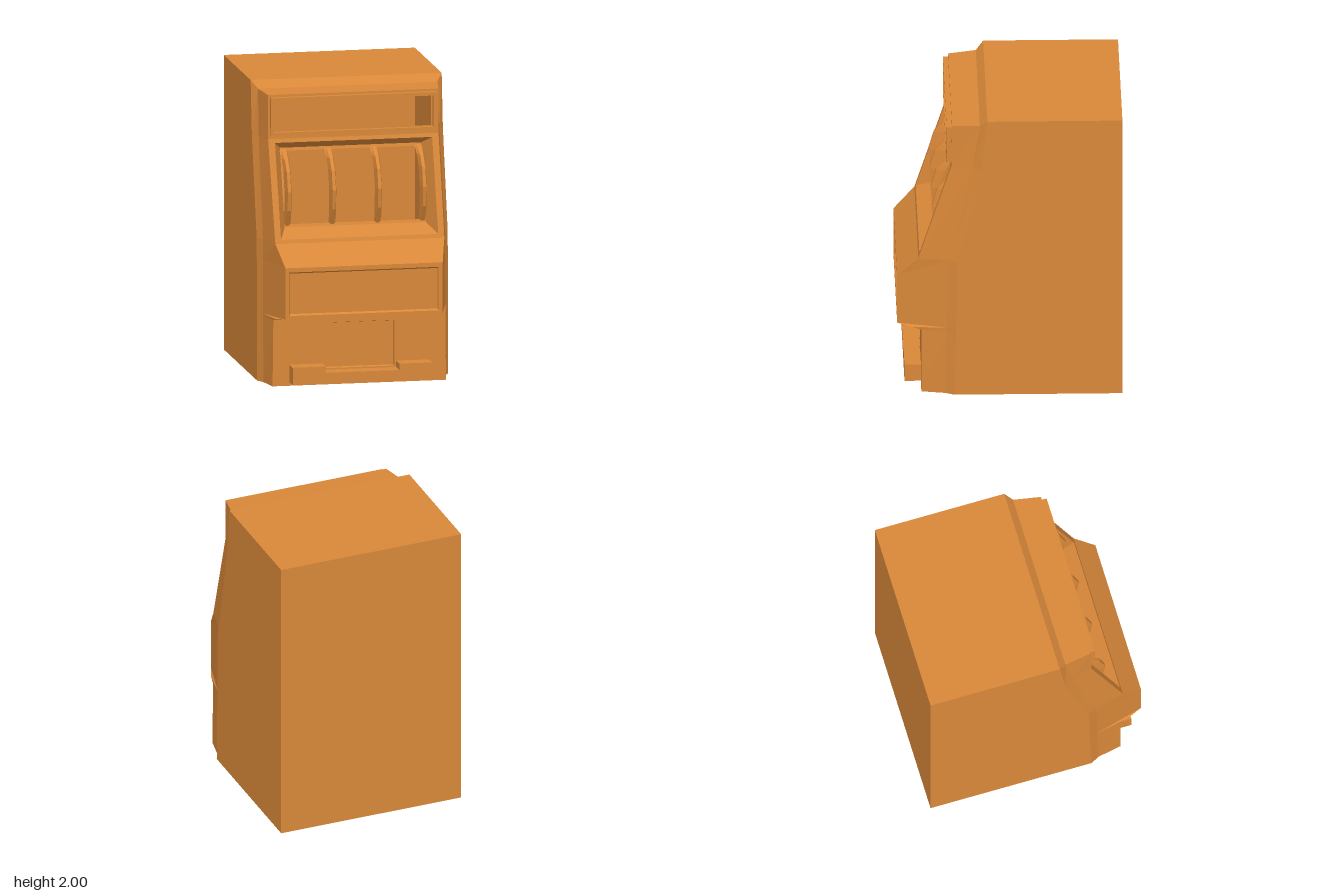
import * as THREE from 'three';

const material = new THREE.MeshStandardMaterial({ color: 0xd98839, flatShading: true, side: THREE.DoubleSide });

// Collects quads (corners counter-clockwise from outside) into one mesh
class Quads {
  pos = [];
  quad(a, b, c, d) {
    for (const p of [a, b, c, a, c, d]) this.pos.push(...p);
  }
  // Quad on the +x half plus its mirror image
  pair(a, b, c, d) {
    this.quad(a, b, c, d);
    this.quad(...[d, c, b, a].map(flip));
  }
  // Band between two four-cornered loops
  ring(outer, inner) {
    for (let i = 0; i < 4; i++) {
      const j = (i + 1) % 4;
      this.quad(outer[i], outer[j], inner[j], inner[i]);
    }
  }
  mesh(name) {
    const g = new THREE.BufferGeometry();
    g.setAttribute('position', new THREE.Float32BufferAttribute(this.pos, 3));
    g.computeVertexNormals();
    return named(g, name);
  }
}

const flip = ([x, y, z]) => [-x, y, z];
const rect = (x, y0, z0, y1, z1) => [[-x, y0, z0], [x, y0, z0], [x, y1, z1], [-x, y1, z1]];

function named(geometry, name) {
  const m = new THREE.Mesh(geometry, material);
  m.name = name;
  return m;
}

function extrude(points, depth, hole) {
  const v = (list) => list.map(([x, y]) => new THREE.Vector2(x, y));
  const shape = new THREE.Shape(v(points));
  if (hole) shape.holes.push(new THREE.Path(v(hole)));
  return new THREE.ExtrudeGeometry(shape, { depth, bevelEnabled: false });
}

// Cabinet rows from bottom to top: side edge, chamfer edge, front edge
const BACK = -0.75;
const rows = [
  [[0.65, 0, 0.37], [0.62, 0, 0.43], [0.59, 0, 0.59]],
  [[0.65, 0.45, 0.36], [0.62, 0.45, 0.42], [0.585, 0.45, 0.59]],
  [[0.65, 0.465, 0.36], [0.62, 0.465, 0.42], [0.575, 0.465, 0.65]],
  [[0.65, 0.48, 0.36], [0.62, 0.48, 0.42], [0.535, 0.48, 0.75]],
  [[0.65, 0.83, 0.355], [0.62, 0.83, 0.415], [0.535, 0.83, 0.75]],
  [[0.65, 0.97, 0.35], [0.62, 0.97, 0.41], [0.575, 0.97, 0.61]],
  [[0.65, 1.64, 0.19], [0.615, 1.64, 0.25], [0.58, 1.64, 0.39]],
  [[0.65, 2, 0.15], [0.61, 1.95, 0.2], [0.58, 1.94, 0.385]],
];

// Openings in the front, keyed by the row below them
const openings = {
  0: rect(0.24, 0.11, 0.59, 0.42, 0.59),
  3: rect(0.51, 0.505, 0.75, 0.8, 0.75),
  5: rect(0.535, 0.995, 0.602, 1.615, 0.398),
  6: rect(0.53, 1.695, 0.389, 1.895, 0.386),
};

function makeCabinet() {
  const q = new Quads();
  const atBack = ([x, y]) => [x, y, BACK];
  for (let i = 0; i < rows.length - 1; i++) {
    const [o0, m0, f0] = rows[i];
    const [o1, m1, f1] = rows[i + 1];
    q.pair(o0, atBack(o0), atBack(o1), o1);
    q.pair(m0, o0, o1, m1);
    q.pair(f0, m0, m1, f1);
    const front = [flip(f0), f0, f1, flip(f1)];
    if (openings[i]) q.ring(front, openings[i]);
    else q.quad(...front);
  }
  // Shelf, top bevel, roof
  const [o, m, f] = rows[rows.length - 1];
  q.quad(flip(f), f, m, flip(m));
  q.quad(flip(m), m, o, flip(o));
  q.quad(flip(o), o, atBack(o), flip(atBack(o)));
  // Back and bottom
  const [bo, bm, bf] = rows[0];
  q.quad(atBack(bo), flip(atBack(bo)), flip(atBack(o)), atBack(o));
  q.quad(flip(atBack(bo)), atBack(bo), bo, flip(bo));
  q.quad(flip(bo), bo, bm, flip(bm));
  q.quad(flip(bm), bm, bf, flip(bf));
  return q.mesh('cabinet');
}

// Shallow recess closed by a flat panel
function makePanel(name, opening, inner) {
  const q = new Quads();
  q.ring(opening, inner);
  q.quad(...inner);
  return q.mesh(name);
}

// Sloping surround of the open reel window
function makeWindowFrame() {
  const q = new Quads();
  const deep = rect(0.48, 1.05, 0.455, 1.56, 0.29);
  q.ring(openings[5], deep);
  q.ring(deep, rect(0.455, 1.07, 0.448, 1.54, 0.296));
  return q.mesh('windowFrame');
}

// Curved rib with a narrow front edge: y, front z, rear z
const ribPath = [
  [1.06, 0.452, 0.44], [1.17, 0.505, 0.46], [1.3, 0.52, 0.465],
  [1.43, 0.482, 0.425], [1.5, 0.42, 0.37], [1.55, 0.295, 0.285],
];

function makeRib(x) {
  const q = new Quads();
  const loops = ribPath.map(([y, zf, zr]) => [
    [-0.011, y, zf], [0.011, y, zf], [0.024, y, zr], [-0.024, y, zr],
  ]);
  for (let i = 0; i < loops.length - 1; i++) q.ring(loops[i], loops[i + 1]);
  q.quad(...[...loops[0]].reverse());
  q.quad(...loops[loops.length - 1]);
  const m = q.mesh('reelDivider');
  m.position.x = x;
  return m;
}

export function createModel() {
  const group = new THREE.Group();
  group.name = 'slotMachine';
  group.add(makeCabinet(), makeWindowFrame());

  for (const x of [-0.46, -0.155, 0.155, 0.46]) group.add(makeRib(x));

  group.add(makePanel('lowerPanel', openings[3], rect(0.5, 0.515, 0.735, 0.79, 0.735)));
  group.add(makePanel('coinPanel', openings[0], rect(0.235, 0.115, 0.57, 0.415, 0.57)));

  // Raised frame around the open sign
  const sign = named(extrude(
    [[-0.565, 1.665], [0.565, 1.665], [0.565, 1.923], [-0.565, 1.923]], 0.045,
    [[-0.54, 1.688], [-0.54, 1.9], [0.54, 1.9], [0.54, 1.688]]), 'signFrame');
  sign.position.z = 0.375;
  group.add(sign);

  // Coin tray with a lowered middle
  const tray = named(extrude([
    [-0.475, 0.025], [0.475, 0.025], [0.475, 0.143], [0.25, 0.143],
    [0.25, 0.1], [-0.25, 0.1], [-0.25, 0.143], [-0.475, 0.143],
  ], 0.12), 'coinTray');
  tray.position.z = 0.58;
  group.add(tray);

  return group;
}
